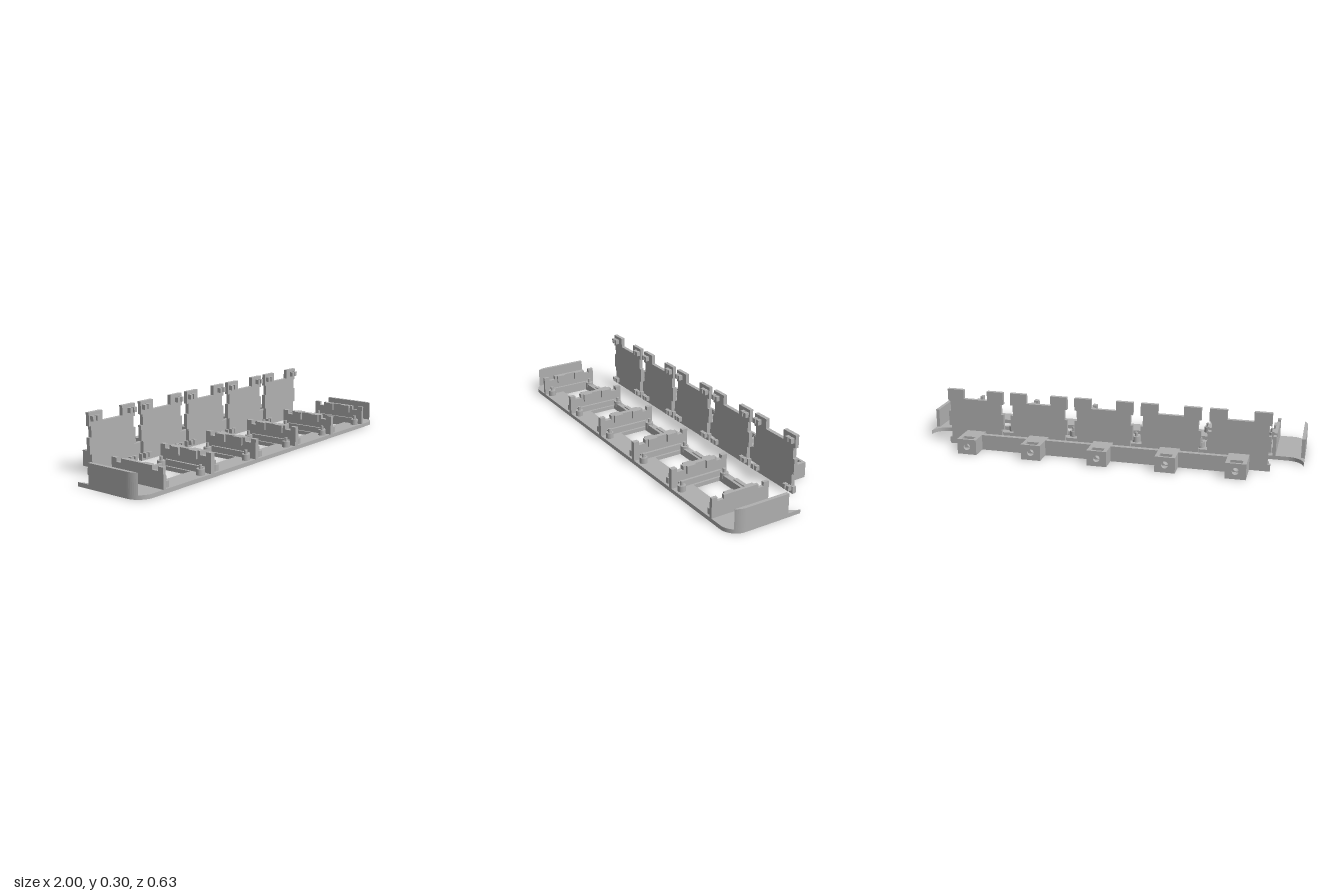
import * as THREE from 'three';

const grey = new THREE.MeshStandardMaterial({ color: 0xb0b0b0 });
grey.name = 'plain grey';

const PITCH = 0.345;
const BAYS = [-2, -1, 0, 1, 2].map((i) => i * PITCH);

function add(parent, name, geometry) {
  const mesh = new THREE.Mesh(geometry, grey);
  mesh.name = name;
  parent.add(mesh);
  return mesh;
}

// Box given by its limits on each axis
function box(parent, name, [x0, x1], [y0, y1], [z0, z1]) {
  const g = new THREE.BoxGeometry(x1 - x0, y1 - y0, z1 - z0);
  g.translate((x0 + x1) / 2, (y0 + y1) / 2, (z0 + z1) / 2);
  return add(parent, name, g);
}

// Plan outline drawn in x and z, raised from y0 to y1
function slab(parent, name, shape, y0, y1) {
  const g = new THREE.ExtrudeGeometry(shape, { depth: y1 - y0, bevelEnabled: false, curveSegments: 16 });
  g.rotateX(Math.PI / 2).translate(0, y1, 0);
  return add(parent, name, g);
}

// Upright outline drawn in x and y, running from z0 to z1
function upright(parent, name, shape, z0, z1) {
  const g = new THREE.ExtrudeGeometry(shape, { depth: z1 - z0, bevelEnabled: false, curveSegments: 12 });
  g.translate(0, 0, z0);
  return add(parent, name, g);
}

function polygon(points) {
  return new THREE.Shape(points.map(([x, y]) => new THREE.Vector2(x, y)));
}

function rectangle(x0, x1, y0, y1) {
  return polygon([[x0, y0], [x1, y0], [x1, y1], [x0, y1]]);
}

function circleHole(x, y, r) {
  const hole = new THREE.Path();
  hole.absarc(x, y, r, 0, Math.PI * 2, true);
  return hole;
}

// Floor with rounded front corners, flared back ears and five windows
function buildTray(parent) {
  const s = new THREE.Shape();
  s.moveTo(-0.92, 0);
  s.lineTo(0.92, 0);
  s.quadraticCurveTo(0.99, -0.005, 1, -0.07);
  s.lineTo(1, 0.235);
  s.absarc(0.92, 0.235, 0.08, 0, Math.PI / 2, false);
  s.lineTo(-0.92, 0.315);
  s.absarc(-0.92, 0.235, 0.08, Math.PI / 2, Math.PI, false);
  s.lineTo(-1, -0.07);
  s.quadraticCurveTo(-0.99, -0.005, -0.92, 0);
  for (const x of BAYS) {
    s.holes.push(new THREE.Path(rectangle(x - 0.138, x + 0.138, 0.056, 0.206).getPoints()));
  }
  slab(parent, 'trayFloor', s, 0, 0.02);

  // End walls follow the rounded corner outside and are flat inside
  for (const side of [-1, 1]) {
    const w = [[0.982, 0], [1, 0]];
    for (let i = 0; i <= 6; i++) {
      const a = (i / 6) * 0.68;
      w.push([0.92 + 0.08 * Math.cos(a), 0.235 + 0.08 * Math.sin(a)]);
    }
    slab(parent, 'endWall', polygon(w.map(([x, z]) => [x * side, z])), 0.02, 0.12);
  }
}

// Dividers between bays, with guide rails and stepped clips on bay sides
function buildDividers(parent) {
  for (let i = 0; i < 6; i++) {
    const x = (i - 2.5) * PITCH;
    const end = i === 0 ? -1 : i === 5 ? 1 : 0;
    const mid = end ? x - end * 0.015 : x;
    const half = end ? 0.008 : 0.012;
    const g = new THREE.Group();
    g.name = 'divider';
    parent.add(g);
    box(g, 'dividerWall', [mid - half, mid + half], [0.02, 0.1], [0, 0.315]);
    box(g, 'dividerTop', [mid - half, mid + half], [0.1, 0.12], [0.06, 0.25]);
    for (const z of [0, 0.285]) {
      box(g, 'dividerTopEnd', [mid - half, mid + half], [0.1, 0.12], [z, z + 0.03]);
    }
    for (const side of [-1, 1]) {
      if (side === end) continue;
      const a = mid + side * half;
      const b = a + side * 0.012;
      const range = [Math.min(a, b), Math.max(a, b)];
      box(g, 'guideRail', range, [0.02, 0.05], [0.04, 0.28]);
      for (const z of [0.075, 0.185]) {
        box(g, 'clip', range, [0.08, 0.12], [z, z + 0.05]);
      }
    }
  }
}

// Screw posts, stop rail and latch block in each bay
function buildBay(parent, x) {
  const ring = new THREE.Shape();
  ring.absarc(0, 0, 0.02, 0, Math.PI * 2, false);
  ring.holes.push(circleHole(0, 0, 0.009));
  for (const dx of [-0.123, 0.123]) {
    for (const z of [0.04, 0.283]) {
      slab(parent, 'screwPost', ring, 0.02, 0.05).position.set(x + dx, 0, z);
      add(parent, 'postPin', new THREE.CylinderGeometry(0.008, 0.008, 0.05, 16)).position.set(x + dx, 0.045, z);
    }
  }
  box(parent, 'stopRail', [x - 0.115, x + 0.115], [0.02, 0.04], [0.042, 0.056]);
  box(parent, 'latchBlock', [x - 0.055, x + 0.055], [0.02, 0.04], [0.014, 0.036]);
}

// Back panel with notched edges and split pegs at its corners
function buildPanel(parent, x) {
  const g = new THREE.Group();
  g.name = 'backPanel';
  g.position.x = x;
  parent.add(g);
  const right = [
    [0.1525, 0], [0.1525, 0.035], [0.14, 0.035], [0.14, 0.1], [0.1525, 0.1], [0.1525, 0.18],
    [0.14, 0.18], [0.14, 0.235], [0.1525, 0.235], [0.1525, 0.3], [0.065, 0.3], [0.065, 0.25],
  ];
  const left = right.map(([px, py]) => [-px, py]).reverse();
  upright(g, 'panelPlate', polygon([...right, ...left]), -0.175, -0.155);
  for (const px of [-0.122, 0.122]) {
    for (const y of [0.015, 0.259]) {
      for (const d of [-0.013, 0.013]) {
        box(g, 'peg', [px + d - 0.009, px + d + 0.009], [y, y + 0.025], [-0.155, -0.135]);
      }
    }
  }
}

// Mounting block with a bolt hole from behind and a nut slot in the top
function buildBlock(parent, x) {
  const g = new THREE.Group();
  g.name = 'mountingBlock';
  g.position.x = x;
  parent.add(g);
  const face = rectangle(-0.051, 0.051, 0, 0.08);
  face.holes.push(circleHole(0, 0.04, 0.018));
  upright(g, 'blockBack', face, -0.315, -0.302);
  const slot = polygon([
    [-0.051, 0], [0.051, 0], [0.051, 0.08], [0.031, 0.08],
    [0.031, 0.018], [-0.031, 0.018], [-0.031, 0.08], [-0.051, 0.08],
  ]);
  upright(g, 'nutSlot', slot, -0.302, -0.268);
  upright(g, 'blockMiddle', face, -0.268, -0.22);
  box(g, 'blockFront', [-0.051, 0.051], [0, 0.08], [-0.22, -0.175]);
}

export function createModel() {
  const model = new THREE.Group();
  model.name = 'moduleRack';

  const tray = new THREE.Group();
  tray.name = 'tray';
  model.add(tray);
  buildTray(tray);
  buildDividers(tray);

  const rear = new THREE.Group();
  rear.name = 'rearAssembly';
  model.add(rear);
  for (const x of BAYS) {
    buildBay(tray, x);
    buildPanel(rear, x);
    buildBlock(rear, x);
  }
  // Rail joining the mounting blocks
  for (let i = 0; i < 4; i++) {
    box(rear, 'linkRail', [BAYS[i] + 0.051, BAYS[i + 1] - 0.051], [0, 0.08], [-0.23, -0.205]);
  }
  return model;
}
